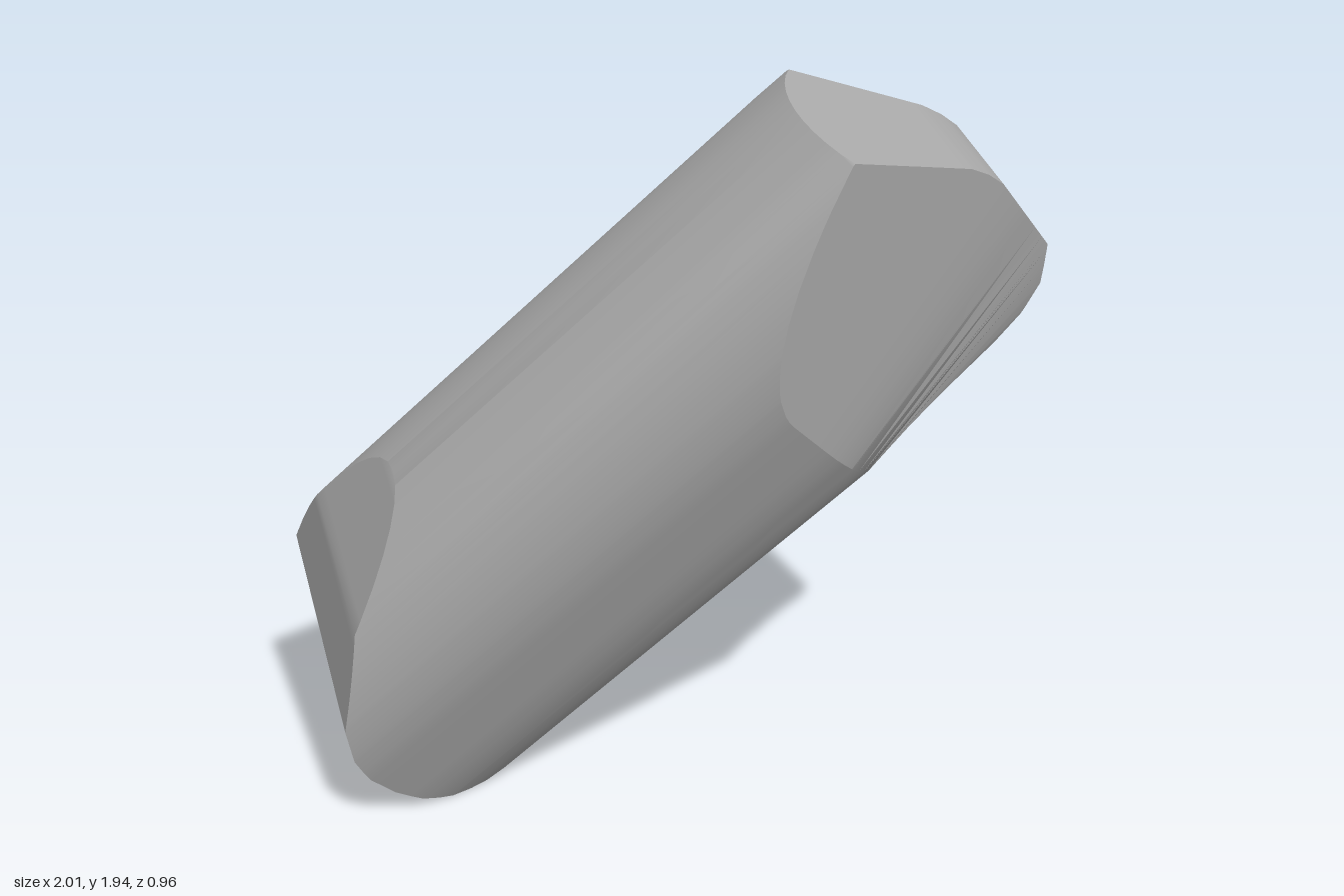
import * as THREE from 'three';
import { toCreasedNormals } from 'three/addons/utils/BufferGeometryUtils.js';

// Local frame: x runs along the length, y from flat base to rounded back, z across the thickness.
// Each end is outlined by [height, length] points.
const base = -0.39;
const lowEnd = [[base, -0.79], [-0.37, -0.85], [-0.335, -0.92], [-0.27, -1.0], [-0.18, -1.065], [-0.09, -1.1],
  [0, -1.115], [0.1, -1.11], [0.18, -1.085], [0.26, -1.03], [0.4, -0.82], [0.5, -0.5]];
const highEnd = [[base, 0.82], [-0.375, 0.92], [-0.34, 1.01], [-0.26, 1.09], [0, 1.11], [0.06, 1.1],
  [0.12, 1.08], [0.2, 1.035], [0.5, 0.865]];

function lookUp(profile, y) {
  for (let i = 1; i < profile.length; i++) {
    const [y0, v0] = profile[i - 1], [y1, v1] = profile[i];
    if (y <= y1 + 1e-9) return v0 + (v1 - v0) * (y - y0) / (y1 - y0);
  }
  return profile[profile.length - 1][1];
}

// Half thickness: semicircular back, short straight sides, rounded sides cut off by the flat base
const radius = 0.405, sideBottom = -0.05, sideTop = 0.095;
function halfThickness(y) {
  const off = y < sideBottom ? sideBottom - y : Math.max(0, y - sideTop);
  return Math.sqrt(Math.max(0, radius ** 2 - off ** 2));
}

// Horizontal slice: a flat bevel cuts the back, the lower sides fan in to the same narrow tip
const bevelStart = 0.37, bevelEnd = 1.1, tipHalf = 0.14;
const bevelSlope = (radius - tipHalf) / (bevelEnd - bevelStart);
function slice(y) {
  const a0 = lookUp(lowEnd, y), a1 = lookUp(highEnd, y), h = halfThickness(y);
  const lower = y < sideBottom;
  const knee = lower ? bevelStart : Math.min(a1, bevelStart + (radius - h) / bevelSlope);
  const slope = lower ? (h - tipHalf) / (bevelEnd - bevelStart) : bevelSlope;
  const tip = h - slope * (a1 - knee);
  return [[a0, h], [knee, h], [a1, tip], [a1, -tip], [knee, -h], [a0, -h]]
    .map(([x, z]) => new THREE.Vector3(x, y, z));
}

function bodyGeometry() {
  // Levels spaced evenly around both curves, plus the bends of the end outlines
  const levels = [...lowEnd, ...highEnd].map((p) => p[0]);
  const steps = 14;
  for (let i = 0; i <= steps; i++) {
    const angle = i / steps * Math.PI / 2;
    levels.push(Math.max(base, sideBottom - radius * Math.sin(angle)), sideTop + radius * Math.sin(angle));
  }
  levels.sort((a, b) => a - b);
  const slices = levels.filter((y, i) => i === 0 || y - levels[i - 1] > 1e-5).map(slice);

  const positions = [];
  const face = (a, b, c) => {
    const area = b.clone().sub(a).cross(c.clone().sub(a)).length();
    if (area > 1e-9) for (const p of [a, b, c]) positions.push(p.x, p.y, p.z);
  };
  for (let s = 1; s < slices.length; s++) {
    const lo = slices[s - 1], up = slices[s];
    for (let i = 0; i < 6; i++) {
      const j = (i + 1) % 6;
      face(lo[i], lo[j], up[j]);
      face(lo[i], up[j], up[i]);
    }
  }
  // Flat base
  for (let i = 1; i < 5; i++) face(slices[0][0], slices[0][i + 1], slices[0][i]);

  const geometry = new THREE.BufferGeometry();
  geometry.setAttribute('position', new THREE.Float32BufferAttribute(positions, 3));
  return geometry;
}

export function createModel() {
  const grey = new THREE.MeshStandardMaterial({ color: 0xa6a6a6 });
  grey.name = 'grey';

  // Tilt the block into its leaning pose
  const along = new THREE.Vector3(0.73, 0.68, 0.06).normalize();
  const across = new THREE.Vector3(0.25, -0.35, 0.9);
  across.addScaledVector(along, -across.dot(along)).normalize();
  const back = new THREE.Vector3().crossVectors(across, along);
  const block = bodyGeometry();
  block.applyMatrix4(new THREE.Matrix4().makeBasis(along, back, across));

  // Centre it and stand it on the ground
  block.computeBoundingBox();
  const box = block.boundingBox;
  const centre = box.getCenter(new THREE.Vector3());
  block.translate(-centre.x, -box.min.y, -centre.z);

  const body = new THREE.Mesh(toCreasedNormals(block, 0.32), grey);
  body.name = 'bevelledBlock';
  const group = new THREE.Group();
  group.name = 'leaningBlock';
  group.add(body);
  return group;
}
